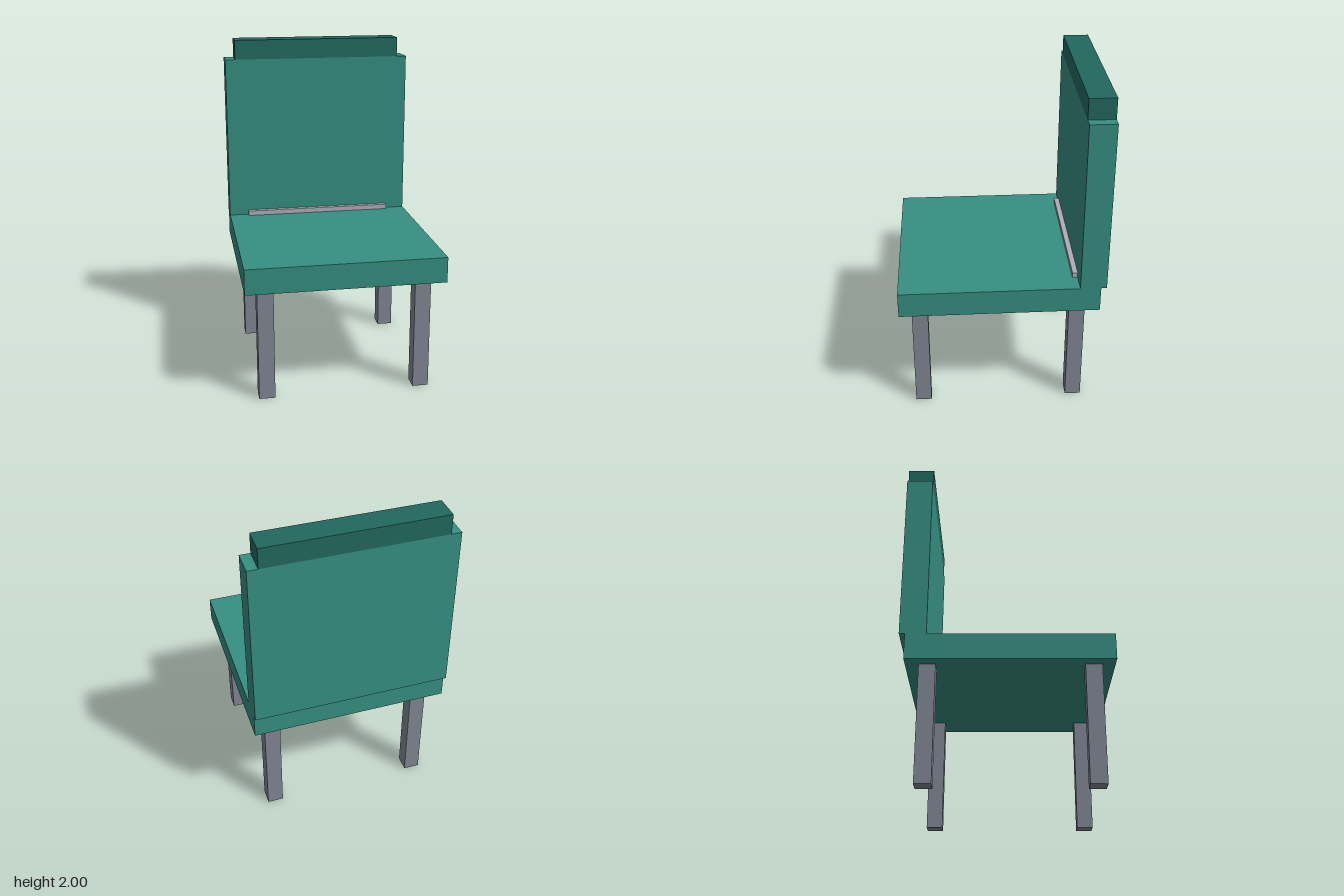
import * as THREE from 'three';

function material(name, color) {
  const m = new THREE.MeshStandardMaterial({ color });
  m.name = name;
  return m;
}

export function createModel() {
  const teal = material('teal upholstery', 0x368f81);
  const darkTeal = material('dark teal trim', 0x22695e);
  const grey = material('grey metal', 0x808794);
  const paleGrey = material('pale grey piping', 0xb0adb8);

  const chair = new THREE.Group();
  chair.name = 'chair';

  // Box given by its extents along each axis
  const box = (name, mat, [x0, x1], [y0, y1], [z0, z1]) => {
    const mesh = new THREE.Mesh(new THREE.BoxGeometry(x1 - x0, y1 - y0, z1 - z0), mat);
    mesh.position.set((x0 + x1) / 2, (y0 + y1) / 2, (z0 + z1) / 2);
    mesh.name = name;
    chair.add(mesh);
  };

  const backDepth = [-0.608, -0.453];

  // Seat, backrest and the narrower top rail
  box('seat', teal, [-0.592, 0.592], [0.692, 0.846], [-0.575, 0.608]);
  box('backrest', teal, [-0.592, 0.592], [0.846, 1.878], backDepth);
  box('topRail', darkTeal, [-0.53, 0.53], [1.878, 2], backDepth);

  // Piping where the seat meets the backrest
  box('piping', paleGrey, [-0.47, 0.47], [0.846, 0.877], [-0.453, -0.422]);

  // Four square legs
  for (const [side, x] of [['Left', 0.468], ['Right', -0.468]]) {
    for (const [end, z] of [['front', 0.487], ['back', -0.45]]) {
      box(`${end}${side}Leg`, grey, [x - 0.048, x + 0.048], [0, 0.692], [z - 0.048, z + 0.048]);
    }
  }

  return chair;
}
